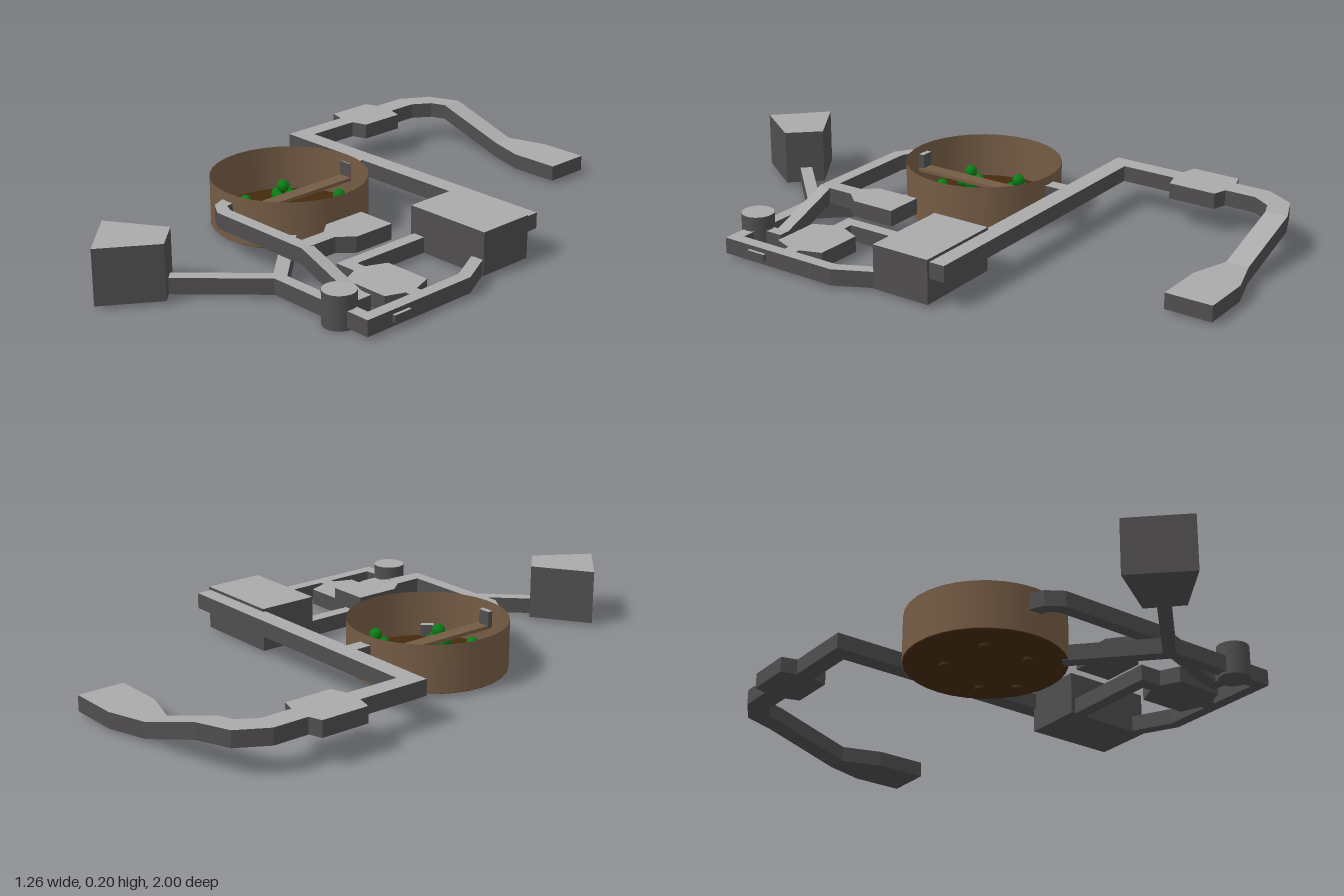
import * as THREE from 'three';

const mat = (name, color, side = THREE.FrontSide) => {
  const m = new THREE.MeshStandardMaterial({ color, side });
  m.name = name;
  return m;
};

export function createModel() {
  const roof = mat('light grey roof', 0xaaaaaa);
  const wall = mat('dark grey wall', 0x504e4e);
  const brown = mat('brown wall', 0x755c45, THREE.DoubleSide);
  const soil = mat('dark soil', 0x452a0e);
  const green = mat('leaf green', 0x0a7d14);
  const model = new THREE.Group();
  model.name = 'tunnelComplex';

  const add = (name, geo, material, parent = model) => {
    const mesh = new THREE.Mesh(geo, material);
    mesh.name = name;
    parent.add(mesh);
    return mesh;
  };

  // Upright block from an [x, z] outline; drop lowers it as a function of x for ramps
  const block = (name, pts, y0, y1, drop = null) => {
    const shape = new THREE.Shape(pts.map(([x, z]) => new THREE.Vector2(x, -z)));
    const geo = new THREE.ExtrudeGeometry(shape, { depth: y1 - y0, bevelEnabled: false });
    geo.rotateX(-Math.PI / 2).translate(0, y0, 0);
    if (drop) {
      const p = geo.attributes.position;
      for (let i = 0; i < p.count; i++) p.setY(i, p.getY(i) - drop(p.getX(i)));
      geo.computeVertexNormals();
    }
    // Underside and walls dark, roof light
    const caps = geo.groups[0].count;
    const total = geo.attributes.position.count;
    geo.clearGroups();
    geo.addGroup(0, caps / 2, 0);
    geo.addGroup(caps / 2, caps / 2, 1);
    geo.addGroup(caps, total - caps, 0);
    return add(name, geo, [wall, roof]);
  };
  const rect = (x0, x1, z0, z1) => [[x0, z0], [x1, z0], [x1, z1], [x0, z1]];

  // Outline of constant width along a bent centre line
  const ribbon = (path, width) => {
    const v = path.map(([x, z]) => new THREE.Vector2(x, z));
    const left = [], right = [];
    v.forEach((p, i) => {
      const a = v[Math.max(i - 1, 0)], b = v[Math.min(i + 1, v.length - 1)];
      const d0 = (i ? p.clone().sub(a) : b.clone().sub(p)).normalize();
      const d1 = (i < v.length - 1 ? b.clone().sub(p) : d0.clone()).normalize();
      const n = new THREE.Vector2(-d0.y - d1.y, d0.x + d1.x).normalize();
      const k = width / 2 / (n.x * -d0.y + n.y * d0.x);
      left.push([p.x + n.x * k, p.y + n.y * k]);
      right.unshift([p.x - n.x * k, p.y - n.y * k]);
    });
    return [...left, ...right];
  };

  const LOW = [0.01, 0.065], HIGH = [0.095, 0.15], FALL = 0.085;

  // Back passage, with its widened chamber, bend, ramp and end room
  block('backCorridor', rect(-0.58, 0.55, -0.29, -0.225), ...HIGH);
  block('westCorridor', rect(-0.58, -0.515, -0.5, -0.29), ...HIGH);
  block('westChamber', [[-0.635, -0.67], [-0.59, -0.685], [-0.51, -0.685], [-0.46, -0.67],
    [-0.46, -0.5], [-0.515, -0.485], [-0.58, -0.485], [-0.635, -0.5]], ...HIGH);
  block('bendCorridor', [[-0.59, -0.67], [-0.59, -0.81], [-0.53, -0.913], [-0.415, -0.958],
    [-0.415, -0.88], [-0.468, -0.86], [-0.51, -0.796], [-0.51, -0.67]], ...HIGH);
  block('backRamp', rect(-0.415, -0.15, -0.958, -0.88), ...HIGH,
    (x) => FALL * (x + 0.415) / 0.265);
  block('backEndRoom', [[-0.15, -0.958], [-0.013, -1], [0.166, -1], [0.166, -0.836],
    [-0.013, -0.836], [-0.15, -0.88]], ...LOW);

  // Tall hall at the end of the back passage
  block('hall', rect(0.24, 0.56, -0.235, -0.025), 0.01, 0.16);

  // Low passages
  block('outerCorridor', ribbon([[0.53, -0.03], [0.598, 0.105], [0.598, 0.522], [0.2, 0.522],
    [-0.05, 0.775]], 0.042), ...LOW);
  block('potCorridor', ribbon([[-0.03, 0.265], [0.21, 0.522]], 0.045), ...LOW);
  block('innerCorridor', rect(0.255, 0.3, -0.03, 0.325), ...LOW);
  block('crossCorridor', rect(0.3, 0.6, 0.277, 0.325), ...LOW);
  block('sideRoom', [[0.365, 0.205], [0.535, 0.205], [0.56, 0.275], [0.56, 0.325],
    [0.535, 0.39], [0.365, 0.39], [0.335, 0.325], [0.335, 0.275]], ...LOW);
  block('sideDoor', rect(0.615, 0.63, 0.37, 0.44), 0.025, 0.05);

  // Tall front room
  block('frontRoom', [[-0.27, 0.837], [-0.08, 0.714], [0.013, 0.812], [-0.108, 0.995]], 0.01, 0.2);

  // High front passage, its small room and ramp
  block('frontCorridor', [[-0.245, 0.35], [-0.245, 0.375], [-0.225, 0.42], [-0.167, 0.457],
    [0.24, 0.457], [0.24, 0.412], [-0.155, 0.412], [-0.19, 0.395], [-0.2, 0.35]], ...HIGH);
  block('smallRoom', [[0.15, 0.115], [0.29, 0.115], [0.29, 0.27], [0.245, 0.32], [0.245, 0.42],
    [0.19, 0.42], [0.19, 0.32], [0.15, 0.27]], ...HIGH);
  block('frontRamp', rect(0.24, 0.46, 0.412, 0.457), ...HIGH,
    (x) => FALL * (x - 0.24) / 0.22);
  block('rampLanding', rect(0.46, 0.5, 0.412, 0.51), ...LOW);

  // Round shaft
  const shaft = add('shaft', new THREE.CylinderGeometry(0.055, 0.055, 0.115, 24), [wall, roof, wall]);
  shaft.position.set(0.48, 0.0575, 0.525);

  // Round garden: open wall, soil floor and bridge
  const garden = new THREE.Group();
  garden.name = 'garden';
  garden.position.set(-0.217, 0, 0.1);
  model.add(garden);
  add('gardenWall', new THREE.CylinderGeometry(0.27, 0.27, 0.165, 32, 1, true), brown, garden)
    .position.y = 0.0975;
  add('gardenFloor', new THREE.CylinderGeometry(0.268, 0.268, 0.01, 32), soil, garden)
    .position.y = 0.018;
  add('bridge', new THREE.BoxGeometry(0.05, 0.012, 0.535), brown, garden).position.y = 0.094;
  block('bridgeCorridor', rect(-0.245, -0.195, -0.225, -0.165), ...HIGH);

  // Bushes: a stub of trunk with a clump of leaf balls
  const balls = [[-0.018, 0.05, -0.02], [0.02, 0.05, -0.018], [-0.02, 0.05, 0.02],
    [0.018, 0.05, 0.02], [0, 0.085, 0]];
  const ball = new THREE.SphereGeometry(0.022, 12, 8);
  const trunk = new THREE.CylinderGeometry(0.012, 0.018, 0.075, 8);
  const spots = [[-0.13, -0.05], [-0.035, 0.03], [-0.328, 0.03], [-0.307, 0.22], [-0.137, 0.222]];
  spots.forEach(([x, z], i) => {
    const bush = new THREE.Group();
    bush.name = 'bush';
    bush.position.set(x, 0, z);
    bush.rotation.y = i * 0.5;
    add('trunk', trunk, soil, bush).position.y = 0.041;
    for (const b of balls) add('leaves', ball, green, bush).position.set(...b);
    model.add(bush);
  });

  return model;
}
